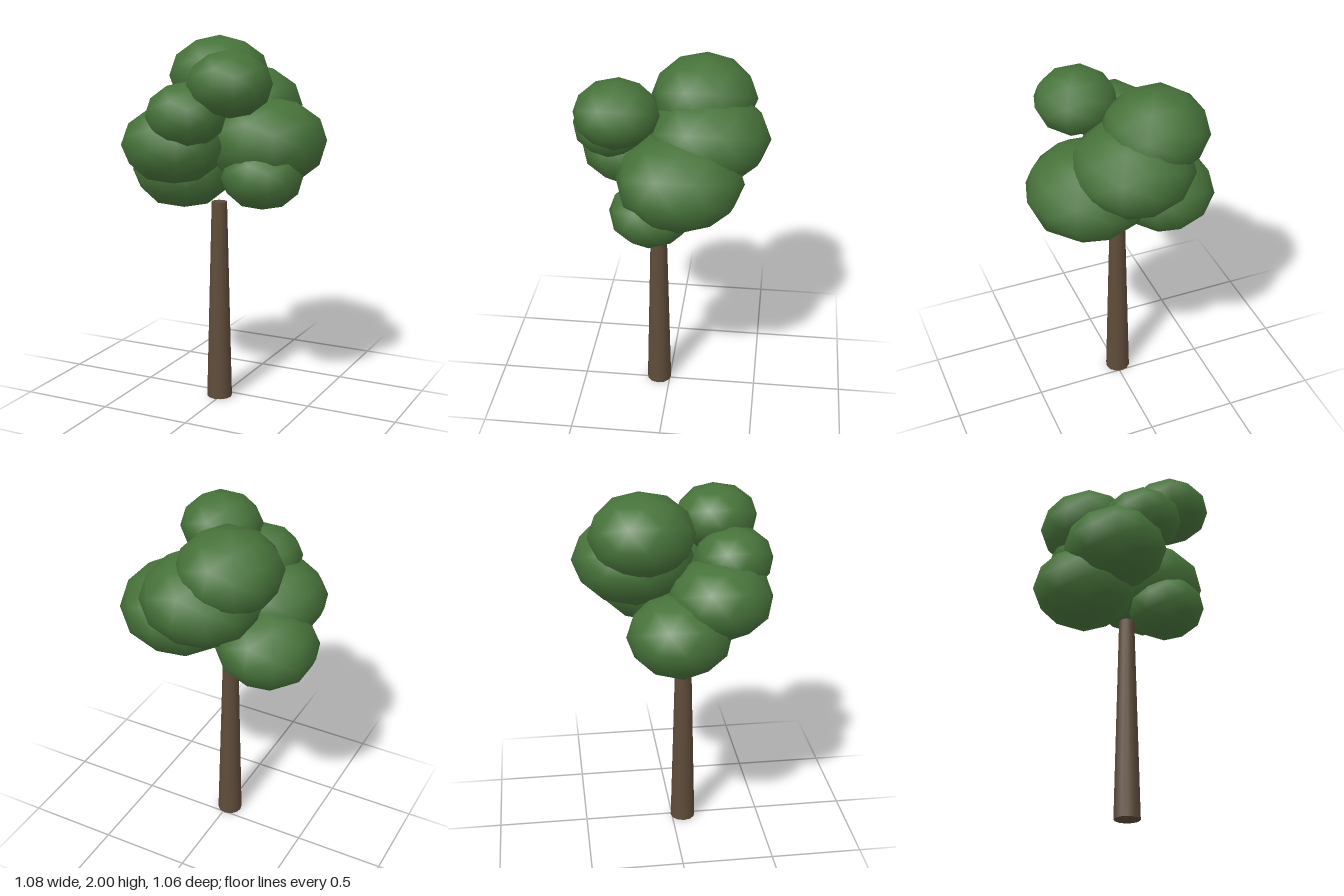
import * as THREE from 'three';

const leafGreen = new THREE.MeshStandardMaterial({ color: 0x47733a });
const barkBrown = new THREE.MeshStandardMaterial({ color: 0x5f4c39 });

// Leaf clumps: centre x, y, z, then horizontal and vertical radius
const CLUMPS = [
  ['topClump', -0.125, 1.78, -0.17, 0.28, 0.22],
  ['backClump', 0.01, 1.615, -0.205, 0.325, 0.24],
  ['rightLargeClump', 0.2, 1.445, -0.075, 0.335, 0.25],
  ['rightLowClump', 0.245, 1.275, 0.07, 0.22, 0.175],
  ['leftLowClump', -0.26, 1.275, 0.01, 0.28, 0.22],
  ['frontLeftClump', -0.2, 1.445, 0.23, 0.28, 0.215],
  ['frontMiddleClump', -0.08, 1.615, 0.317, 0.212, 0.173],
  ['frontTopClump', 0.143, 1.78, 0.257, 0.223, 0.175],
];

export function createModel() {
  const tree = new THREE.Group();
  tree.name = 'tree';

  // Tapered trunk, standing slightly in front of the centre
  const trunk = new THREE.Mesh(new THREE.CylinderGeometry(0.042, 0.07, 1.12, 12), barkBrown);
  trunk.name = 'trunk';
  trunk.position.set(-0.013, 0.56, 0.063);
  tree.add(trunk);

  // Crown of flattened, smooth low-poly balls
  const crown = new THREE.Group();
  crown.name = 'crown';
  const ball = new THREE.IcosahedronGeometry(1, 1);
  for (const [name, x, y, z, r, h] of CLUMPS) {
    const clump = new THREE.Mesh(ball, leafGreen);
    clump.name = name;
    clump.position.set(x, y, z);
    clump.scale.set(r, h, r);
    crown.add(clump);
  }
  tree.add(crown);
  return tree;
}
